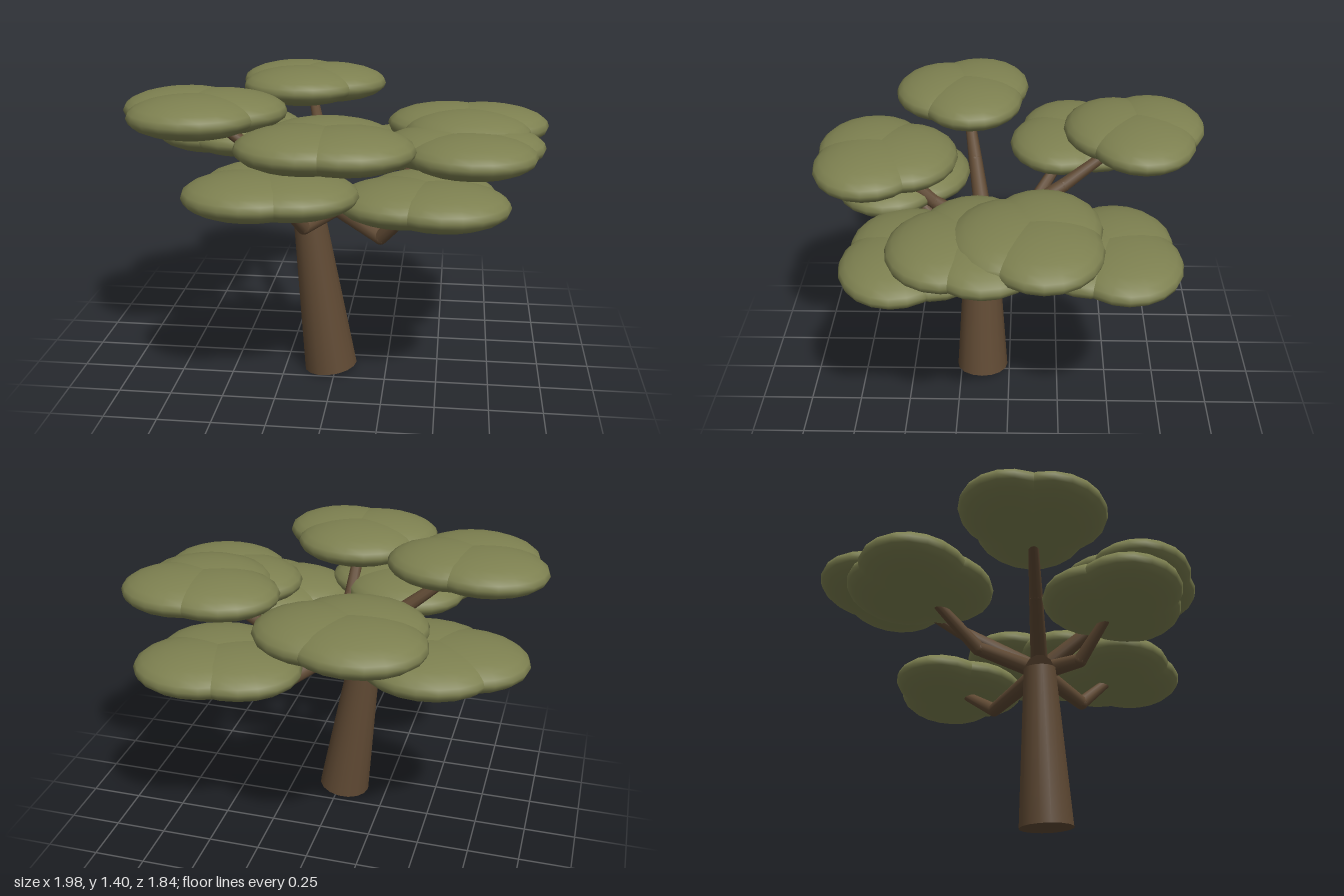
import * as THREE from 'three';

const bark = new THREE.MeshStandardMaterial({ color: 0x5f4933 });
bark.name = 'bark brown';
const leaf = new THREE.MeshStandardMaterial({ color: 0x7d8050 });
leaf.name = 'olive leaf';

const UP = new THREE.Vector3(0, 1, 0);

// Tapered round limb between two points
function limb(name, from, to, r0, r1, sides = 12) {
  const dir = to.clone().sub(from);
  const mesh = new THREE.Mesh(new THREE.CylinderGeometry(r1, r0, dir.length(), sides), bark);
  mesh.name = name;
  mesh.position.copy(from).addScaledVector(dir, 0.5);
  mesh.quaternion.setFromUnitVectors(UP, dir.normalize());
  return mesh;
}

// Flat leaf pad: three overlapping squashed spheres around its centre
const lobeGeometry = new THREE.SphereGeometry(1, 20, 12);
function leafPad(center, turn) {
  const pad = new THREE.Group();
  pad.name = 'leafPad';
  for (let i = 0; i < 3; i++) {
    const a = turn + (i * Math.PI * 2) / 3;
    const lobe = new THREE.Mesh(lobeGeometry, leaf);
    lobe.name = 'leafLobe';
    lobe.scale.set(0.3, 0.095, 0.255);
    lobe.position.set(Math.cos(a) * 0.1, 0, -Math.sin(a) * 0.1);
    pad.add(lobe);
  }
  pad.position.copy(center);
  return pad;
}

// Pad centres (x, y, z) and the turn of their lobes in degrees
const pads = [
  [-0.22, 1.29, -0.61, 10],
  [0.41, 0.995, -0.46, 40],
  [0.61, 1.195, -0.11, 30],
  [0.6, 1.15, 0.16, 45],
  [0.43, 0.985, 0.42, 80],
  [0.01, 1.265, 0.59, 90],
  [-0.24, 1.045, 0.55, 100],
  [-0.61, 1.315, 0.23, 20],
  [-0.57, 1.085, -0.33, 70],
];

export function createModel() {
  const tree = new THREE.Group();
  tree.name = 'tree';

  // Leaning trunk with a short crook back towards the crown
  const base = new THREE.Vector3(-0.025, 0.022, 0.14);
  const neck = new THREE.Vector3(-0.125, 0.79, 0.14);
  const hub = new THREE.Vector3(0, 0.84, 0.11);
  tree.add(limb('trunk', base, neck, 0.13, 0.078, 16));
  tree.add(limb('trunkCrook', neck, new THREE.Vector3(0.015, 0.88, 0.11), 0.07, 0.045));

  // Each pad is carried by a branch that bends halfway out
  for (const [x, y, z, turn] of pads) {
    const tip = new THREE.Vector3(x, y, z);
    const bend = hub.clone().lerp(tip, 0.52).setY(y - 0.235);
    tree.add(limb('innerBranch', hub, bend, 0.045, 0.034, 10));
    tree.add(limb('outerBranch', bend, tip, 0.034, 0.02, 10));

    const knuckle = new THREE.Mesh(new THREE.SphereGeometry(0.034, 10, 8), bark);
    knuckle.name = 'branchKnuckle';
    knuckle.position.copy(bend);
    tree.add(knuckle);

    tree.add(leafPad(tip, THREE.MathUtils.degToRad(turn)));
  }
  return tree;
}
